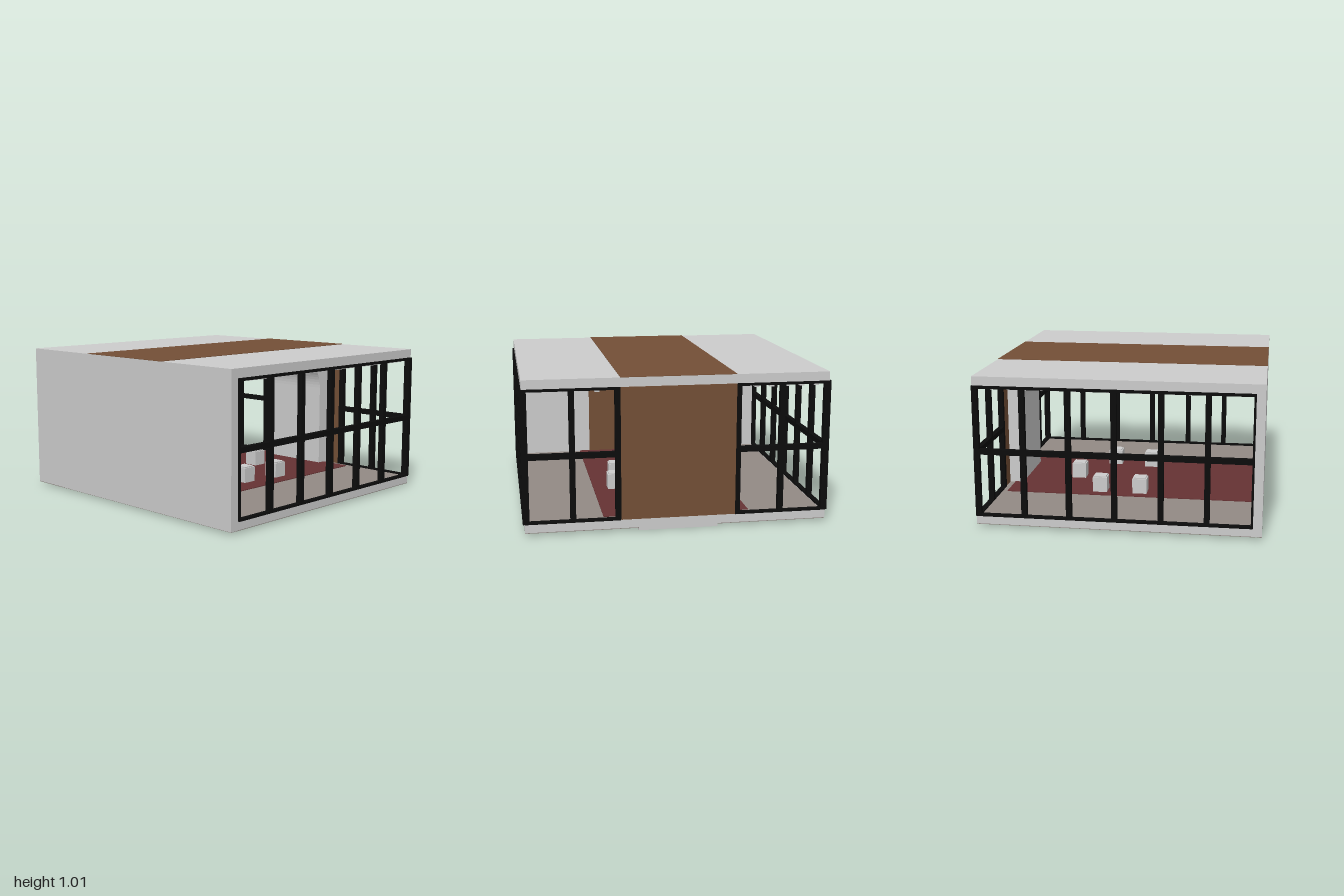
import * as THREE from 'three';

const mat = (name, color) => {
  const m = new THREE.MeshStandardMaterial({ color });
  m.name = name;
  return m;
};

export function createModel() {
  const group = new THREE.Group();
  const grey = mat('light grey', 0xcccccc);
  const brown = mat('brown wood', 0x734f36);
  const red = mat('dark red', 0x653233);
  const taupe = mat('taupe floor', 0x928a85);
  const black = mat('black frame', 0x0c0c0c);

  const add = (name, geometry, material) => {
    const mesh = new THREE.Mesh(geometry, material);
    mesh.name = name;
    group.add(mesh);
    return mesh;
  };
  // Box given by its limits on each axis
  const box = (name, material, [x0, x1], [y0, y1], [z0, z1]) =>
    add(name, new THREE.BoxGeometry(x1 - x0, y1 - y0, z1 - z0)
      .translate((x0 + x1) / 2, (y0 + y1) / 2, (z0 + z1) / 2), material);

  // Shell: front wall, roof and floor slabs
  const W = [-0.988, 0.988];
  box('frontWall', grey, W, [0.02, 1.005], [0.87, 0.93]);
  box('roof', grey, W, [0.945, 1.005], [-0.927, 0.87]);
  box('floorSlab', grey, W, [0.022, 0.078], [-0.927, 0.87]);
  box('floorTop', taupe, [-0.96, 0.96], [0.078, 0.081], [-0.9, 0.87]);
  box('floorUnderside', taupe, W, [0.018, 0.022], [-0.927, 0.93]);
  box('carpet', red, [-0.48, 0.48], [0.081, 0.086], [-0.86, 0.87]);

  // Brown band wrapping roof, back, ceiling and inner front wall
  const B = [-0.375, 0.372];
  box('roofBand', brown, B, [1.005, 1.008], [-0.927, 0.93]);
  box('backPanel', brown, B, [0.08, 0.945], [-0.932, -0.9]);
  box('ceilingBand', brown, B, [0.941, 0.945], [-0.9, 0.87]);
  box('innerFrontPanel', brown, [-0.4, 0.4], [0.08, 0.945], [0.862, 0.87]);
  box('screen', black, [-0.12, 0.12], [0.12, 0.42], [0.853, 0.862]);

  // Window frames on both sides and on the back
  const H = [0.08, 0.945];
  for (const s of [-1, 1]) {
    const X = s > 0 ? [0.965, 1] : [-1, -0.965];
    for (const z of [0.58, 0.285, -0.015, -0.31, -0.605, -0.91])
      box('sidePost', black, X, H, [z - 0.018, z + 0.018]);
    box('sideFrontPost', black, X, H, [0.858, 0.872]);
    box('sideMiddleRail', black, X, [0.495, 0.53], [-0.925, 0.87]);
    box('sideTopRail', black, X, [0.928, 0.946], [-0.925, 0.87]);
    box('sideSill', black, X, [0.076, 0.09], [-0.925, 0.87]);

    const bay = s > 0 ? [0.375, 0.985] : [-0.985, -0.375];
    for (const x of [0.39, 0.68, 0.975])
      box('backPost', black, [s * x - 0.018, s * x + 0.018], H, [-0.93, -0.895]);
    box('backMiddleRail', black, bay, [0.495, 0.53], [-0.93, -0.895]);
    box('backTopRail', black, bay, [0.928, 0.946], [-0.93, -0.895]);
    box('backSill', black, bay, [0.076, 0.09], [-0.93, -0.895]);
  }

  // Nested ceiling rails, each turning a rounded corner near the front
  for (const s of [-1, 1]) {
    for (let k = 0; k < 5; k++) {
      const x = 0.93 - k * 0.1, z = 0.82 - k * 0.1, r = 0.22, t = 0.03;
      const end = Math.min(0.375, x - r);
      const rail = new THREE.Shape();
      rail.moveTo(s * x, -0.89);
      rail.lineTo(s * x, z - r);
      rail.quadraticCurveTo(s * x, z, s * (x - r), z);
      rail.lineTo(s * (end - 0.001), z);
      rail.lineTo(s * (end - 0.001), z - t);
      rail.lineTo(s * (x - r), z - t);
      rail.quadraticCurveTo(s * (x - t), z - t, s * (x - t), z - r);
      rail.lineTo(s * (x - t), -0.89);
      rail.closePath();
      const geo = new THREE.ExtrudeGeometry(rail, { depth: 0.032, bevelEnabled: false, curveSegments: 10 });
      add('ceilingRail', geo.rotateX(Math.PI / 2).translate(0, 0.944, 0), grey);
    }
  }

  // Canopy that swells from the ceiling and curves down into a back column
  const profile = new THREE.Shape();
  profile.moveTo(-0.929, 0.002);
  profile.lineTo(-0.8, 0.002);
  profile.lineTo(-0.8, 0.67);
  profile.bezierCurveTo(-0.8, 0.79, -0.72, 0.876, -0.6, 0.876);
  profile.lineTo(-0.45, 0.878);
  profile.bezierCurveTo(-0.3, 0.88, -0.2, 0.9, -0.1, 0.912);
  profile.lineTo(0.15, 0.912);
  profile.lineTo(0.2, 0.941);
  profile.lineTo(-0.929, 0.941);
  profile.closePath();
  const canopy = new THREE.ExtrudeGeometry(profile, { depth: 0.52, bevelEnabled: false, curveSegments: 16 });
  add('canopyColumn', canopy.rotateY(-Math.PI / 2).translate(0.26, 0, 0), grey);

  // Display pedestals
  for (const [x, z] of [[0.33, -0.21], [-0.37, -0.21], [-0.37, 0.07], [0.29, 0.07], [-0.06, -0.42]]) {
    box('pedestal', grey, [x - 0.05, x + 0.05], [0.08, 0.19], [z - 0.05, z + 0.05]);
    box('pedestalTop', grey, [x - 0.042, x + 0.042], [0.19, 0.198], [z - 0.042, z + 0.042]);
  }

  return group;
}
